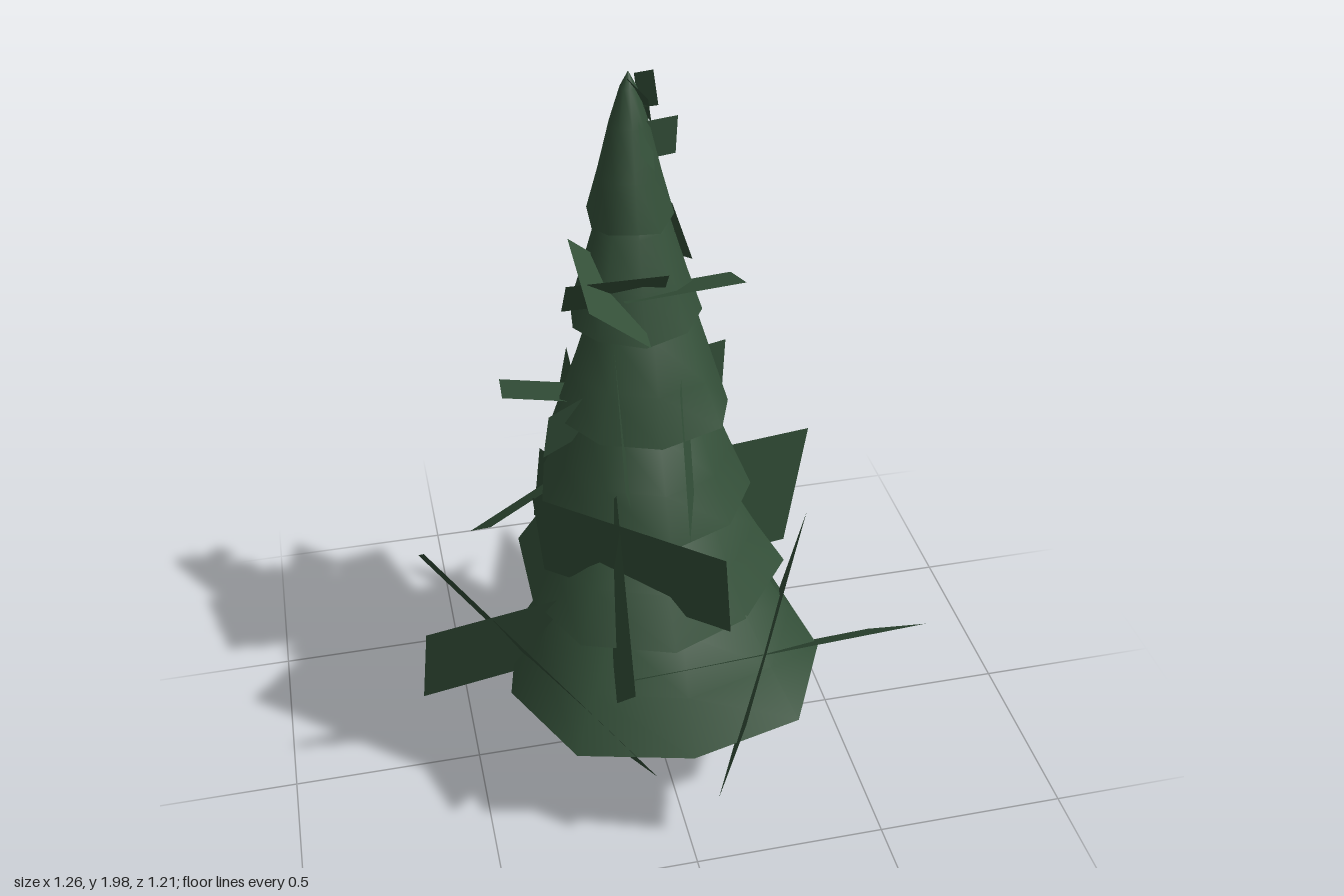
import * as THREE from 'three';
import { mergeVertices } from 'three/addons/utils/BufferGeometryUtils.js';

const needleGreen = new THREE.MeshStandardMaterial({ color: 0x345039, side: THREE.DoubleSide });
needleGreen.name = 'needle green';
const barkBrown = new THREE.MeshStandardMaterial({ color: 0x5b4738, flatShading: true });
barkBrown.name = 'bark brown';

// Bell-shaped skirt, open below, with a slightly ragged hem
function makeTier(radius, height, middle, shoulder, seed) {
  const profile = [
    [1, 0], [(1 + middle) / 2, 0.32], [middle, 0.66], [shoulder, 0.9], [0.01, 1],
  ].map(([r, t]) => new THREE.Vector2(r * radius, t * height));
  const sides = 9;
  let geo = new THREE.LatheGeometry(profile, sides);
  geo.deleteAttribute('uv');
  geo.deleteAttribute('normal');
  geo = mergeVertices(geo, 1e-4);
  const p = geo.attributes.position;
  for (let i = 0; i < p.count; i++) {
    const angle = Math.atan2(p.getZ(i), p.getX(i));
    const hem = 1 - p.getY(i) / height;
    const k = Math.round((angle / (2 * Math.PI)) * sides + sides) % sides;
    const wobble = Math.sin(k * 2.4 + seed * 1.7);
    const s = 1 + 0.07 * wobble * hem;
    p.setXYZ(i, p.getX(i) * s, p.getY(i) + 0.012 * wobble * hem * hem, p.getZ(i) * s);
  }
  geo.computeVertexNormals();
  return new THREE.Mesh(geo, needleGreen);
}

// Flat branch card: a corner and its two neighbouring corners
function makeCard(a, b, c) {
  const d = a.map((v, i) => b[i] + c[i] - v);
  const geo = new THREE.BufferGeometry();
  geo.setAttribute('position', new THREE.Float32BufferAttribute([...a, ...b, ...d, ...c], 3));
  geo.setIndex([0, 1, 2, 0, 2, 3]);
  geo.computeVertexNormals();
  return new THREE.Mesh(geo, needleGreen);
}

export function createModel() {
  const tree = new THREE.Group();
  tree.name = 'firTree';

  // Trunk
  const trunk = new THREE.Mesh(new THREE.CylinderGeometry(0.02, 0.042, 1.5, 6), barkBrown);
  trunk.name = 'trunk';
  trunk.position.set(-0.04, 0.83, 0.015);
  tree.add(trunk);

  // Skirts: centre x, hem y, centre z, radius, height, middle and shoulder ratios
  const tiers = [
    [0, 0.35, 0.055, 0.425, 0.42, 0.61, 0.36],
    [-0.03, 0.62, 0.025, 0.335, 0.4, 0.61, 0.36],
    [-0.025, 0.87, 0, 0.27, 0.38, 0.6, 0.36],
    [-0.03, 1.13, -0.005, 0.222, 0.36, 0.6, 0.36],
    [-0.055, 1.38, 0, 0.158, 0.36, 0.56, 0.34],
    [-0.065, 1.64, 0.018, 0.096, 0.35, 0.46, 0.2],
  ];
  tiers.forEach(([x, y, z, r, h, middle, shoulder], i) => {
    const tier = makeTier(r, h, middle, shoulder, i);
    tier.name = 'tier' + (i + 1);
    tier.position.set(x, y, z);
    tree.add(tier);
  });

  const addCards = (name, list) => {
    const group = new THREE.Group();
    group.name = name;
    list.forEach((corners, i) => {
      const card = makeCard(...corners);
      card.name = name + (i + 1);
      group.add(card);
    });
    tree.add(group);
  };

  // Large low branches
  addCards('lowBranch', [
    [[0.63, 0.565, 0.335], [0.605, 0.27, 0.01], [-0.16, 0.57, 0.385]],
    [[-0.62, 0.65, 0.2], [-0.635, 0.29, 0.03], [-0.05, 0.67, 0.12]],
    [[0.085, 0.58, 0.6], [0.06, 0.2, 0.47], [0.39, 0.75, 0.05]],
    [[-0.075, 0.01, -0.43], [0.18, 0.74, -0.6], [-0.105, 0.12, 0]],
    [[-0.6, 0.53, -0.265], [-0.6, 0.8, 0.07], [-0.1, 0.05, 0.14]],
    [[-0.235, 0.35, -0.605], [-0.22, 0.65, -0.52], [0, 0.25, -0.32]],
    [[0.19, 0.22, -0.14], [0.2, 0.28, -0.34], [0.15, 0.42, -0.08]],
  ]);

  // Middle branches
  addCards('middleBranch', [
    [[-0.17, 0.68, 0.55], [-0.18, 0.49, 0.37], [-0.14, 1.0, 0.2]],
    [[-0.16, 0.83, -0.525], [-0.16, 1.08, -0.355], [-0.13, 0.54, -0.1]],
    [[0.1, 0.79, -0.43], [-0.455, 0.6, -0.25], [0.13, 0.99, -0.18]],
    [[0.41, 0.95, -0.04], [0.37, 0.57, -0.07], [0.09, 0.97, 0.03]],
    [[-0.335, 0.99, 0.15], [-0.31, 0.74, 0.12], [0.08, 0.92, 0.4]],
  ]);

  // Upper branches
  addCards('upperBranch', [
    [[-0.38, 1.21, 0.04], [-0.36, 1.12, -0.18], [-0.12, 1.17, 0.06]],
    [[-0.29, 1.03, 0.05], [-0.28, 1.18, 0.1], [-0.08, 1.1, 0]],
    [[0.2, 1.21, -0.1], [0.2, 1.06, -0.12], [0, 1.24, 0]],
    [[-0.15, 1.13, 0.36], [-0.12, 1.34, 0.1], [-0.11, 0.97, 0.22]],
    [[0.02, 1.19, -0.285], [0.05, 1.02, -0.16], [-0.02, 1.35, -0.14]],
    [[0.05, 1.33, 0.08], [0.02, 1.25, 0.17], [0.05, 0.98, 0.2]],
  ]);

  // Small branches near the top
  addCards('topBranch', [
    [[0.18, 1.51, 0.14], [0.18, 1.46, 0], [-0.1, 1.49, 0.14]],
    [[-0.235, 1.55, 0.14], [-0.235, 1.44, 0.06], [0, 1.55, 0.14]],
    [[-0.21, 1.61, 0.03], [-0.2, 1.53, 0.23], [-0.06, 1.47, -0.02]],
    [[0.04, 1.56, -0.21], [0.08, 1.43, -0.17], [0.05, 1.63, -0.05]],
    [[-0.02, 1.6, -0.1], [0.04, 1.6, 0.02], [0, 1.4, -0.12]],
  ]);

  // Tip sprigs
  addCards('tipSprig', [
    [[0.05, 1.87, 0], [0.05, 1.77, -0.02], [-0.04, 1.88, 0.04]],
    [[-0.01, 1.99, 0.02], [-0.01, 1.93, 0.07], [-0.04, 1.96, -0.04]],
    [[-0.02, 1.85, -0.09], [0, 1.8, -0.07], [-0.06, 1.9, 0]],
    [[-0.06, 1.84, 0.12], [-0.02, 1.78, 0.08], [-0.05, 1.89, 0.05]],
    [[-0.07, 1.98, 0.03], [-0.05, 1.9, -0.03], [-0.03, 1.94, 0.06]],
  ]);

  return tree;
}
